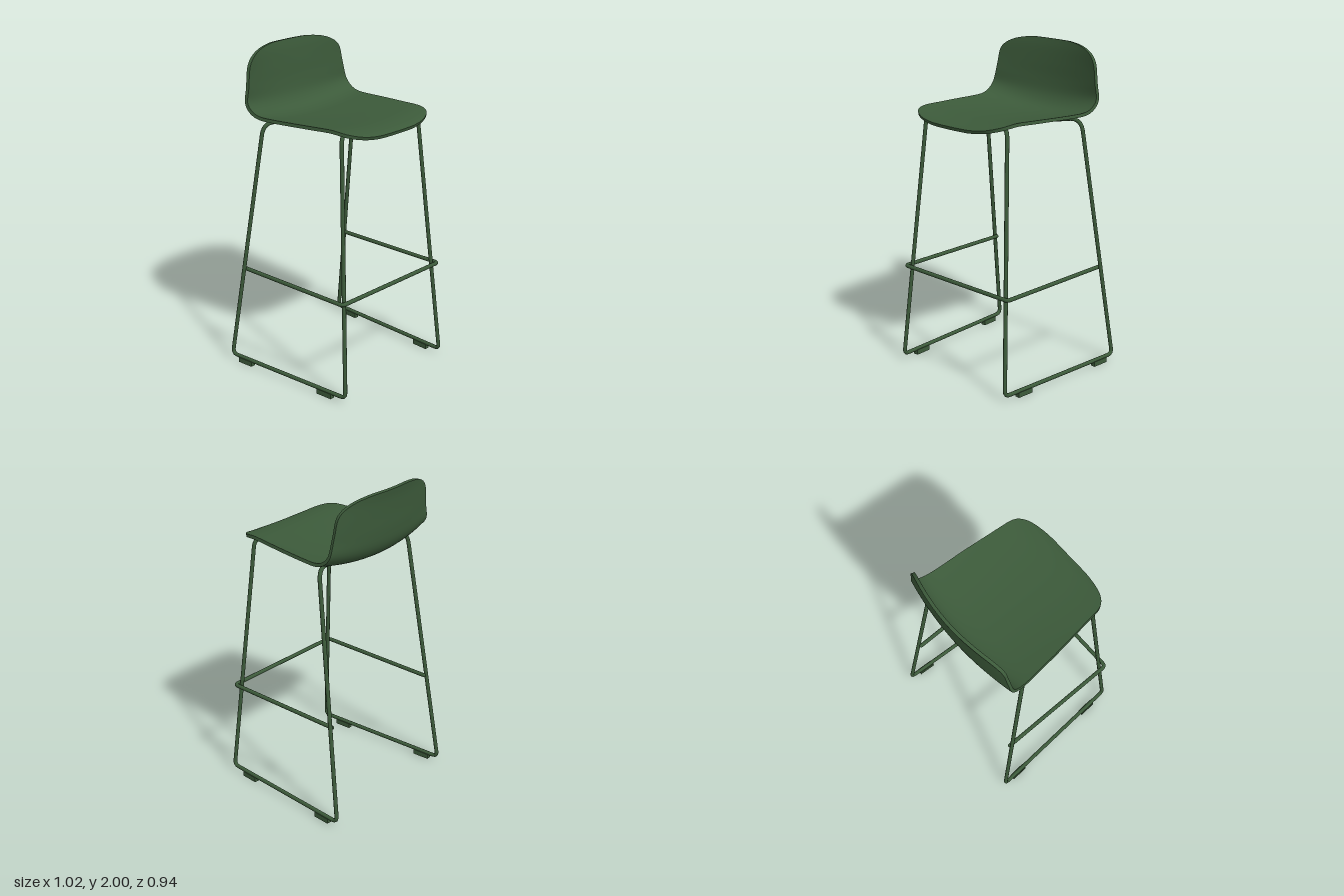
import * as THREE from 'three';

const V = (x, y, z) => new THREE.Vector3(x, y, z);
const TUBE_R = 0.0125;

// Shell stations from front lip to top of back:
// centre z, centre y, half width, z shift at the sides, y lift at the sides
const STATIONS = [
  [0.455, 1.587, 0.368, 0, 0.015],
  [0.40, 1.602, 0.37, 0, 0.022],
  [0.30, 1.609, 0.376, 0, 0.03],
  [0.15, 1.60, 0.392, 0, 0.035],
  [0.0, 1.588, 0.408, 0, 0.042],
  [-0.15, 1.578, 0.42, 0, 0.047],
  [-0.25, 1.577, 0.428, 0.01, 0.05],
  [-0.33, 1.60, 0.432, 0.03, 0.05],
  [-0.378, 1.66, 0.43, 0.04, 0.035],
  [-0.395, 1.75, 0.412, 0.05, 0.02],
  [-0.402, 1.85, 0.397, 0.05, 0.005],
  [-0.41, 1.94, 0.387, 0.055, 0],
  [-0.42, 2.0, 0.378, 0.06, 0],
];

// Thick shell: upper skin, underside offset along the normals, and a rim
function shellGeometry() {
  const centre = new THREE.CatmullRomCurve3(STATIONS.map(s => V(0, s[1], s[0])), false, 'catmullrom');
  const side = new THREE.CatmullRomCurve3(STATIONS.map(s => V(s[2], s[4], s[3])), false, 'catmullrom');
  const rows = 72, cols = 32, thick = 0.02, corner = 0.16;
  const pos = [], top = [], under = [];
  const at = (i, j) => i * (cols + 1) + j;
  for (let i = 0; i <= rows; i++) {
    const t = (1 - Math.cos(Math.PI * i / rows)) / 2;
    const c = centre.getPoint(t), e = side.getPoint(t);
    // rounded corners at both ends of the outline
    const near = Math.min(0.455 - c.z, 2.0 - c.y);
    const d = Math.min(1, Math.max(0, 1 - near / corner)) * 0.985;
    const round = Math.cbrt(1 - d ** 3);
    for (let j = 0; j <= cols; j++) {
      const k = (j / cols * 2 - 1) * round;
      pos.push(e.x * k, c.y + e.y * k * k, c.z + e.z * k * k);
    }
  }
  for (let i = 0; i < rows; i++) for (let j = 0; j < cols; j++) {
    const a = at(i, j), b = at(i, j + 1), c = at(i + 1, j), d = at(i + 1, j + 1);
    top.push(a, b, c, b, d, c);
  }
  const skin = new THREE.BufferGeometry();
  skin.setAttribute('position', new THREE.Float32BufferAttribute(pos, 3));
  skin.setIndex(top);
  skin.computeVertexNormals();
  const n = skin.attributes.normal.array, count = pos.length / 3;
  const all = pos.concat(pos.map((p, i) => p - n[i] * thick));
  for (let i = 0; i < top.length; i += 3) under.push(top[i] + count, top[i + 2] + count, top[i + 1] + count);

  // rim with its own vertices so its edges stay crisp
  const loop = [];
  for (let j = 0; j < cols; j++) loop.push(at(0, j));
  for (let i = 0; i < rows; i++) loop.push(at(i, cols));
  for (let j = cols; j > 0; j--) loop.push(at(rows, j));
  for (let i = rows; i > 0; i--) loop.push(at(i, 0));
  const base = all.length / 3, L = loop.length, rim = [];
  for (const v of loop) for (const o of [v, v + count]) all.push(...all.slice(o * 3, o * 3 + 3));
  for (let i = 0; i < L; i++) {
    const a = base + i * 2, b = base + ((i + 1) % L) * 2;
    rim.push(a, a + 1, b, b, a + 1, b + 1);
  }
  const g = new THREE.BufferGeometry();
  g.setAttribute('position', new THREE.Float32BufferAttribute(all, 3));
  g.setIndex([...top, ...under, ...rim]);
  g.computeVertexNormals();
  return g;
}

// Polyline with rounded corners; each point is [x, y, z, bend]
function bentPath(points, closed) {
  const path = new THREE.CurvePath(), N = points.length;
  const p = points.map(q => V(q[0], q[1], q[2]));
  const toward = (a, b, r) => a.clone().add(b.clone().sub(a).setLength(r));
  const first = closed ? toward(p[0], p[1], points[0][3]) : p[0];
  let last = first;
  const bend = i => {
    const a = toward(p[i], p[(i + N - 1) % N], points[i][3]);
    const b = toward(p[i], p[(i + 1) % N], points[i][3]);
    path.add(new THREE.LineCurve3(last, a));
    path.add(new THREE.QuadraticBezierCurve3(a, p[i], b));
    last = b;
  };
  for (let i = 1; i < N - 1; i++) bend(i);
  if (closed) {
    bend(N - 1);
    bend(0);
  } else path.add(new THREE.LineCurve3(last, p[N - 1]));
  return path;
}

export function createModel() {
  const group = new THREE.Group();
  const green = new THREE.MeshStandardMaterial({ color: 0x3c5a3a });
  green.name = 'dark green';
  const add = (name, geometry) => {
    const mesh = new THREE.Mesh(geometry, green);
    mesh.name = name;
    group.add(mesh);
    return mesh;
  };

  add('seatShell', shellGeometry());

  // One continuous bent tube: rear support, legs, floor runners, front support
  const half = [
    [0.2, 1.555, -0.19, 0.06],
    [0.397, 1.59, -0.24, 0.085],
    [0.498, 0.035, -0.465, 0.04],
    [0.445, 0.035, 0.46, 0.035],
    [0.335, 1.608, 0.327, 0.06],
    [0.2, 1.583, 0.27, 0.06],
  ];
  const mirrored = half.map(([x, y, z, r]) => [-x, y, z, r]).reverse();
  const loop = [[0, 1.546, -0.18, 0.09], ...half, [0, 1.574, 0.245, 0.09], ...mirrored];
  add('legFrame', new THREE.TubeGeometry(bentPath(loop, true), 700, TUBE_R, 10, true));

  // Footrest wrapping around the front legs
  const y = 0.628, ends = [[-0.44, y, -0.375, 0], [0.44, y, -0.375, 0]];
  const rest = [ends[0], [-0.44, y, 0.433, 0.025], [0.44, y, 0.433, 0.025], ends[1]];
  add('footrest', new THREE.TubeGeometry(bentPath(rest, false), 300, TUBE_R, 10, false));

  for (const s of [-1, 1]) {
    // rounded footrest end
    add('footrestEnd', new THREE.SphereGeometry(TUBE_R, 10, 8)).position.set(s * 0.44, y, -0.375);
    // glides under the runners
    for (const z of [0.305, -0.345]) {
      const glide = add('floorGlide', new THREE.BoxGeometry(0.032, 0.032, 0.11));
      glide.position.set(s * (0.471 - 0.0573 * z), 0.016, z);
      glide.rotation.y = -s * 0.0573;
    }
  }
  return group;
}
